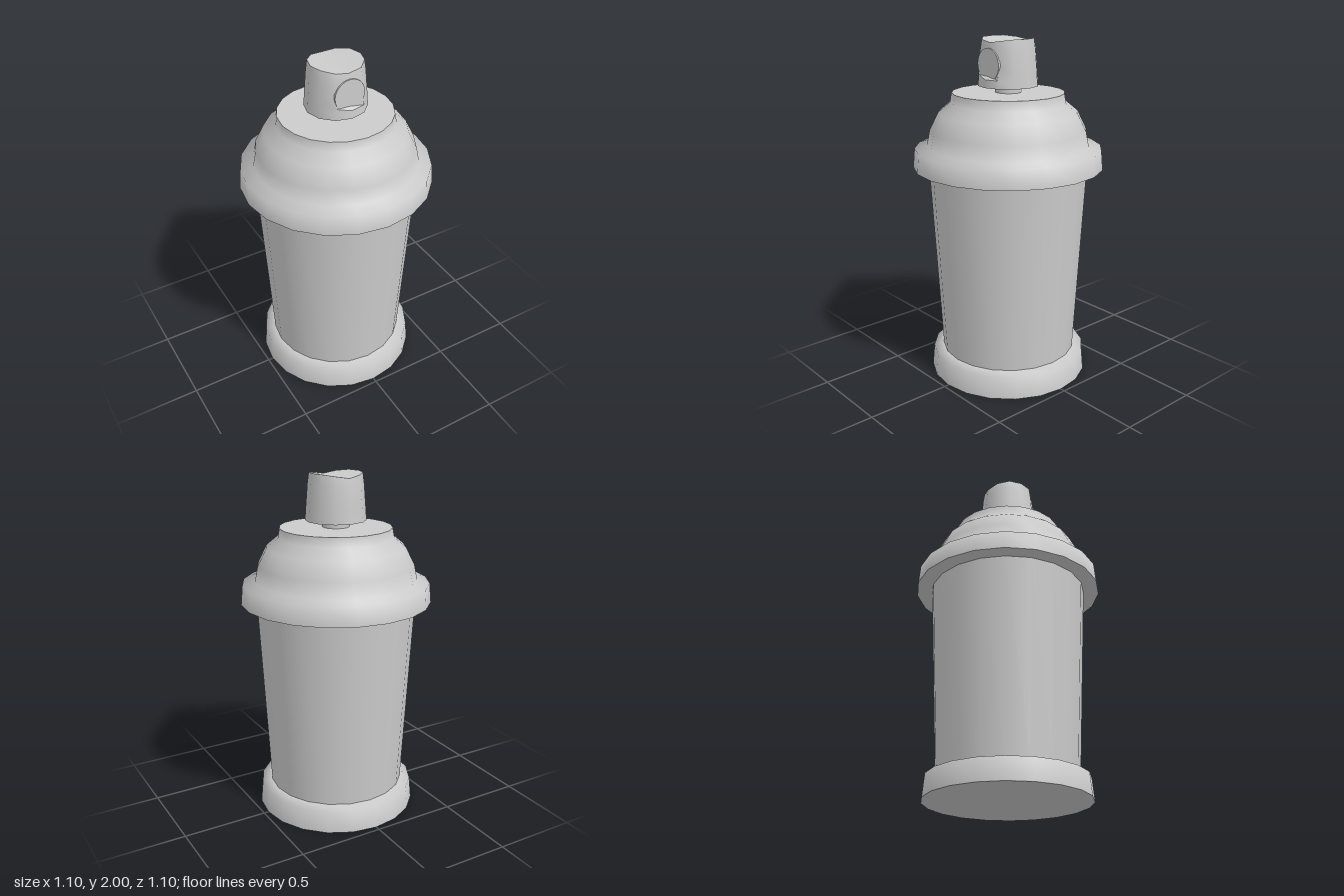
import * as THREE from 'three';
import { toCreasedNormals } from 'three/addons/utils/BufferGeometryUtils.js';

const material = new THREE.MeshStandardMaterial({ color: 0xcccccc });

function addMesh(parent, name, geometry) {
  const mesh = new THREE.Mesh(geometry, material);
  mesh.name = name;
  parent.add(mesh);
  return mesh;
}

// Turned shape from [radius, height] pairs, listed from bottom to top
function lathe(points, sides) {
  return new THREE.LatheGeometry(points.map(([r, y]) => new THREE.Vector2(r, y)), sides);
}

// Spray button: tapered, with a flattened front and a dished top
function nozzleGeometry() {
  const geometry = lathe([
    [0, 1.735], [0.174, 1.735], [0.17, 1.78], [0.169, 1.8], [0.165, 1.85],
    [0.158, 1.94], [0.15, 1.985], [0.08, 1.985], [0, 1.985],
  ], 12);
  const p = geometry.attributes.position;
  for (let i = 0; i < p.count; i++) {
    const x = p.getX(i), y = p.getY(i), z = p.getZ(i);
    if (y > 1.79 && Math.abs(x) < 0.01 && z > 0.12) p.setZ(i, y > 1.95 ? 0.135 : 0.143);
    if (y > 1.98) p.setY(i, 1.98 + 0.02 * Math.min(1, Math.abs(x) / 0.13));
  }
  return toCreasedNormals(geometry, 0.8);
}

export function createModel() {
  const model = new THREE.Group();
  model.name = 'sprayCan';
  const sides = 20;

  // Flared foot
  const base = new THREE.Group();
  base.name = 'base';
  model.add(base);
  addMesh(base, 'baseUnderside', lathe([[0, 0], [0.472, 0]], sides));
  addMesh(base, 'baseRim', lathe([[0.472, 0], [0.46, 0.13], [0.4, 0.145]], sides));

  // Tapered can body
  addMesh(model, 'body', lathe([[0.4, 0.14], [0.46, 1.275]], sides));

  // Overhanging cap with a domed shoulder and a short collar
  const cap = new THREE.Group();
  cap.name = 'cap';
  model.add(cap);
  addMesh(cap, 'capUnderside', lathe([[0.44, 1.27], [0.55, 1.27]], sides));
  addMesh(cap, 'capShoulder', lathe([
    [0.55, 1.27], [0.54, 1.38], [0.468, 1.397], [0.45, 1.485],
    [0.4, 1.585], [0.332, 1.642], [0.322, 1.697],
  ], sides));
  addMesh(cap, 'capTop', lathe([[0.322, 1.697], [0, 1.697]], sides));

  // Stem, button and spray outlet
  const stem = addMesh(model, 'stem', new THREE.CylinderGeometry(0.077, 0.077, 0.06, 12));
  stem.position.y = 1.715;
  addMesh(model, 'nozzle', nozzleGeometry());
  const outlet = addMesh(model, 'outlet', new THREE.CylinderGeometry(0.09, 0.09, 0.02, 24));
  outlet.rotation.x = Math.PI / 2;
  outlet.position.set(0, 1.86, 0.138);

  return model;
}
